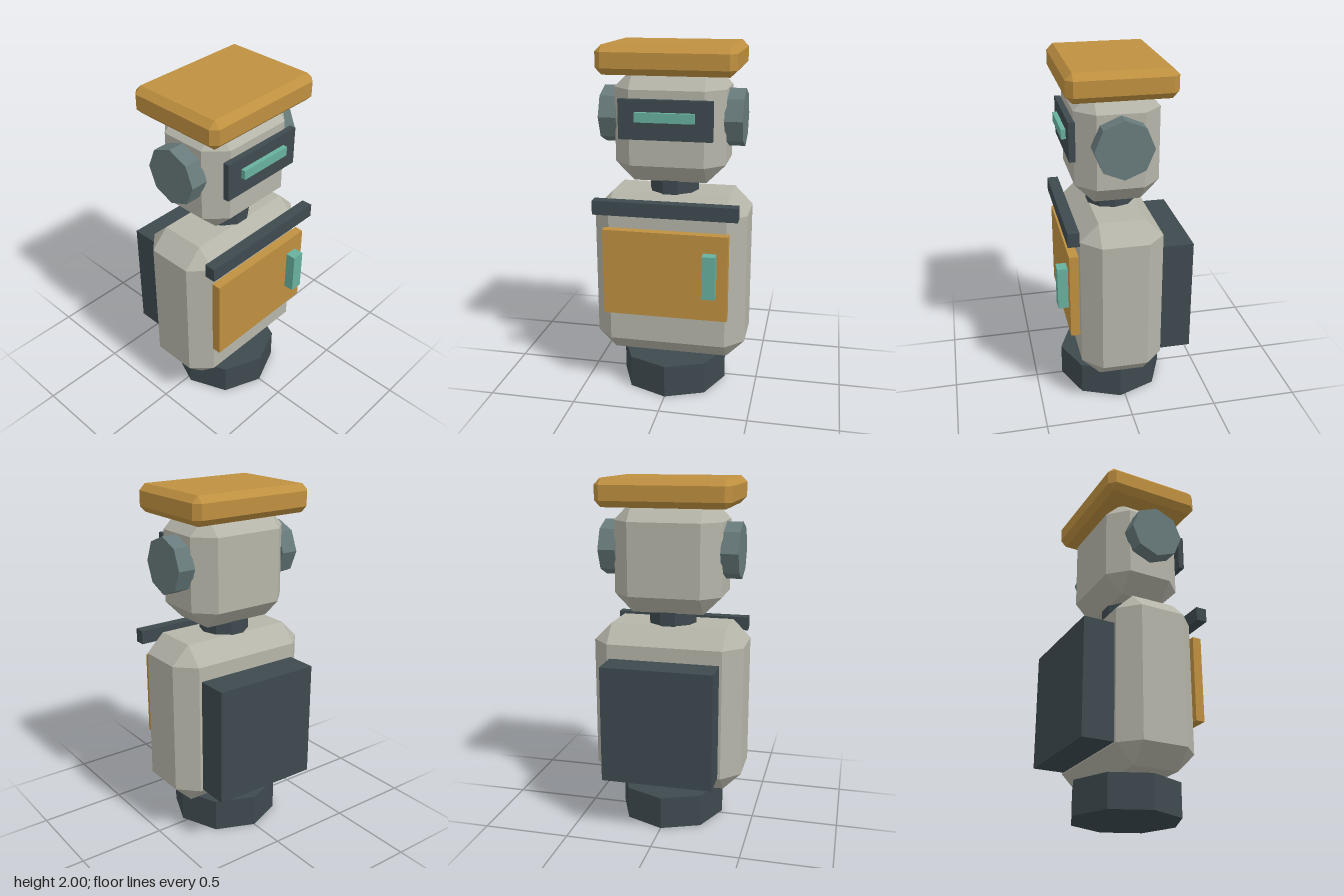
import * as THREE from 'three';
import { ConvexGeometry } from 'three/addons/geometries/ConvexGeometry.js';

const paint = (name, color) => {
  const m = new THREE.MeshStandardMaterial({ color, flatShading: true });
  m.name = name;
  return m;
};

// Box with every edge and corner cut by c
function chamferBox(w, h, d, c) {
  const pts = [];
  for (const sx of [-1, 1]) for (const sy of [-1, 1]) for (const sz of [-1, 1]) {
    for (let axis = 0; axis < 3; axis++) {
      const cut = [c, c, c];
      cut[axis] = 0;
      pts.push(new THREE.Vector3(sx * (w / 2 - cut[0]), sy * (h / 2 - cut[1]), sz * (d / 2 - cut[2])));
    }
  }
  return new ConvexGeometry(pts);
}

export function createModel() {
  const model = new THREE.Group();
  model.name = 'robot';
  const shell = paint('pale grey', 0xb5b5a9);
  const orange = paint('ochre', 0xbf9040);
  const dark = paint('dark slate', 0x3e4a4f);
  const slate = paint('mid slate', 0x687a7b);
  const teal = paint('teal', 0x68b09f);
  const midZ = 0.03;

  const add = (name, geometry, material, x, y, z) => {
    const mesh = new THREE.Mesh(geometry, material);
    mesh.name = name;
    mesh.position.set(x, y, z);
    model.add(mesh);
    return mesh;
  };
  // Plain box given by its limits on each axis
  const block = (name, material, [x0, x1], [y0, y1], [z0, z1]) =>
    add(name, new THREE.BoxGeometry(x1 - x0, y1 - y0, z1 - z0), material,
      (x0 + x1) / 2, (y0 + y1) / 2, (z0 + z1) / 2);

  // Base and neck
  add('base', new THREE.CylinderGeometry(0.31, 0.31, 0.19, 8), dark, 0, 0.095, midZ);
  add('neck', new THREE.CylinderGeometry(0.14, 0.14, 0.1, 10, 1, false, Math.PI / 10), dark, 0, 1.21, midZ);

  // Chamfered body, head and cap
  add('body', chamferBox(0.876, 0.97, 0.467, 0.104), shell, 0, 0.692, midZ);
  add('head', chamferBox(0.618, 0.62, 0.467, 0.104), shell, 0, 1.56, midZ);
  add('cap', chamferBox(0.756, 0.156, 0.583, 0.036), orange, 0, 1.922, midZ);

  // Ear discs
  for (const side of [-1, 1]) {
    const ear = add(side > 0 ? 'leftEar' : 'rightEar',
      new THREE.CylinderGeometry(0.16, 0.16, 0.1, 8), slate, side * 0.35, 1.6, midZ);
    ear.rotation.z = Math.PI / 2;
  }

  // Face
  block('visor', dark, [-0.256, 0.256], [1.505, 1.72], [0.262, 0.297]);
  block('eyeStrip', teal, [-0.162, 0.162], [1.603, 1.655], [0.297, 0.323]);

  // Chest bar, door and handle
  block('chestBar', dark, [-0.404, 0.404], [1.085, 1.165], [0.274, 0.338]);
  block('door', orange, [-0.353, 0.353], [0.5, 0.997], [0.274, 0.326]);
  block('doorHandle', teal, [0.218, 0.292], [0.65, 0.897], [0.326, 0.385]);

  // Backpack
  block('backpack', dark, [-0.318, 0.318], [0.318, 0.99], [-0.385, -0.2]);

  return model;
}
